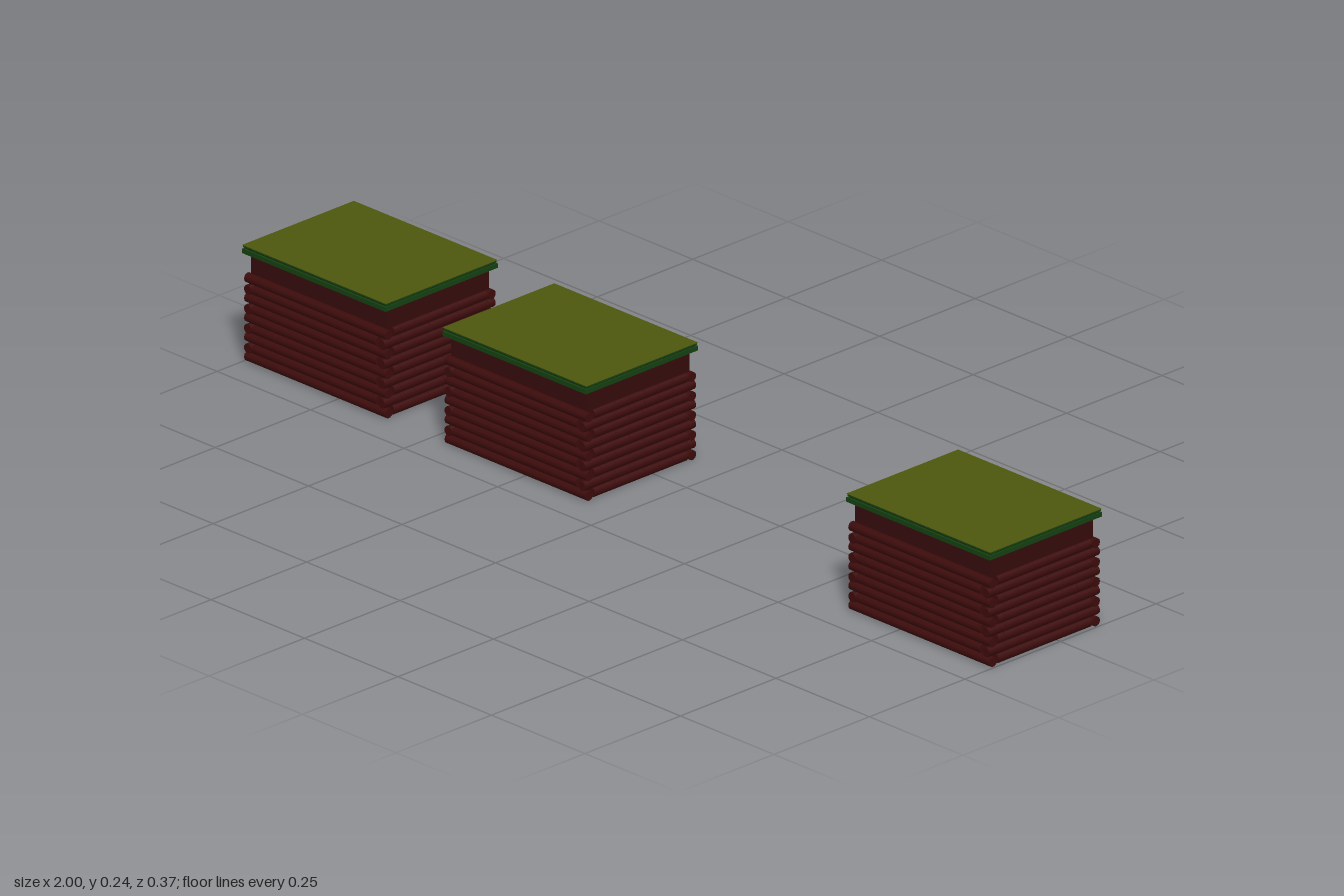
import * as THREE from 'three';
import { mergeGeometries } from 'three/addons/utils/BufferGeometryUtils.js';

const R = 0.01;                 // log radius
const ROWS = 9;
const X = 0.189, BACK = -0.107, FRONT = 0.183; // outer wall faces

const mat = (color, side = THREE.FrontSide) => new THREE.MeshStandardMaterial({ color, side });
const mats = {
  log: mat(0x3d0b0b), band: mat(0x350b0b), roof: mat(0x4d570c),
  trim: mat(0x144010), green: mat(0x125a12), dark: mat(0x101013, THREE.DoubleSide),
};

// One log along x or z, cut into staggered lengths with fine joints
function logPieces(axis, from, to, y, across, row, radius = R) {
  const piece = 0.038, joint = 0.0006, list = [];
  let a = from;
  let b = from + (row % 2 ? piece / 2 : piece);
  while (a < to - 0.001) {
    b = Math.min(b, to);
    if (to - b < 0.006) b = to;
    const g = new THREE.CylinderGeometry(radius, radius, b - a - joint, 10);
    const mid = (a + b) / 2;
    if (axis === 'x') g.rotateZ(Math.PI / 2).translate(mid, y, across);
    else g.rotateX(Math.PI / 2).translate(across, y, mid);
    list.push(g);
    a = b;
    b = a + piece;
  }
  return list;
}

function mesh(name, geometry, material, x = 0, y = 0, z = 0) {
  const m = new THREE.Mesh(geometry, material);
  m.name = name;
  m.position.set(x, y, z);
  return m;
}

const box = (name, w, h, d, material, x, y, z) =>
  mesh(name, new THREE.BoxGeometry(w, h, d), material, x, y, z);

// Log walls whose rows alternately run through the corners
function addWalls(cabin) {
  const walls = { frontWall: [], backWall: [], leftWall: [], rightWall: [] };
  for (let row = 0; row < ROWS; row++) {
    const y = R + row * 2 * R;
    const through = row % 2 === 0;
    const x0 = through ? -X : -X + 2 * R;
    const x1 = through ? X : X - 2 * R - 0.006;
    const z0 = through ? BACK + 2 * R : BACK;
    const z1 = through ? FRONT - 2 * R - 0.005 : FRONT;
    const r = R * 0.99;
    walls.frontWall.push(...logPieces('x', x0, x1, y, FRONT - R, row, r));
    walls.backWall.push(...logPieces('x', x0, x1, y, BACK + R, row, r));
    walls.leftWall.push(...logPieces('z', z0, z1, y, X - R, row, r));
    walls.rightWall.push(...logPieces('z', z0, z1, y, -X + R, row, r));
  }
  for (const [name, parts] of Object.entries(walls)) {
    cabin.add(mesh(name, mergeGeometries(parts), mats.log));
  }
  // Floor of smaller logs laid side by side
  const floor = [];
  const r = 0.007;
  let i = 0;
  for (let z = BACK + 2 * R + r; z < FRONT - 2 * R; z += 2 * r) {
    floor.push(...logPieces('x', -X + 2 * R, X - 2 * R, r, z, i++, r));
  }
  cabin.add(mesh('floor', mergeGeometries(floor), mats.log));
}

// Inset band under a two-layer flat roof
function addRoof(cabin) {
  const zMid = (BACK + FRONT) / 2;
  cabin.add(
    box('upperBand', 0.364, 0.042, 0.267, mats.band, 0, 0.201, zMid),
    box('eaves', 0.384, 0.009, 0.294, mats.trim, 0, 0.2265, zMid),
    box('roofCore', 0.376, 0.004, 0.284, mats.dark, 0, 0.2325, zMid),
    box('roofEdge', 0.382, 0.004, 0.289, mats.trim, 0, 0.2355, zMid),
    box('roofTop', 0.384, 0.001, 0.292, mats.roof, 0, 0.238, zMid),
  );
}

// Door, windows and the small canopy at the back
function addEntrance(cabin) {
  cabin.add(box('door', 0.046, 0.09, 0.006, mats.green, 0, 0.047, BACK));
  cabin.add(box('doorLintel', 0.052, 0.005, 0.012, mats.trim, 0, 0.097, BACK));
  for (const s of [-1, 1]) {
    cabin.add(
      box('window', 0.036, 0.042, 0.006, mats.green, s * 0.098, 0.065, BACK),
      box('windowSill', 0.042, 0.004, 0.01, mats.green, s * 0.098, 0.045, BACK),
      mesh('canopyPost', new THREE.CylinderGeometry(0.0018, 0.0018, 0.092, 8),
        mats.trim, s * 0.05, 0.046, -0.1815),
    );
  }
  // Thin canopy sheet sloping away from the wall, with a slight sag
  const outline = new THREE.Shape();
  outline.moveTo(-0.1, 0.103);
  outline.lineTo(-0.145, 0.098);
  outline.lineTo(-0.183, 0.092);
  outline.lineTo(-0.172, 0.0895);
  outline.lineTo(-0.148, 0.09);
  outline.lineTo(-0.1, 0.102);
  const canopy = new THREE.ExtrudeGeometry(outline, { depth: 0.106, bevelEnabled: false });
  canopy.translate(0, 0, -0.053).rotateY(-Math.PI / 2);
  cabin.add(mesh('canopy', canopy, mats.dark));
}

export function createModel() {
  const group = new THREE.Group();
  group.name = 'logCabins';
  const cabin = new THREE.Group();
  cabin.name = 'cabin';
  addWalls(cabin);
  addRoof(cabin);
  addEntrance(cabin);
  for (const x of [-0.808, -0.272, 0.808]) {
    const copy = cabin.clone();
    copy.position.x = x;
    group.add(copy);
  }
  return group;
}
